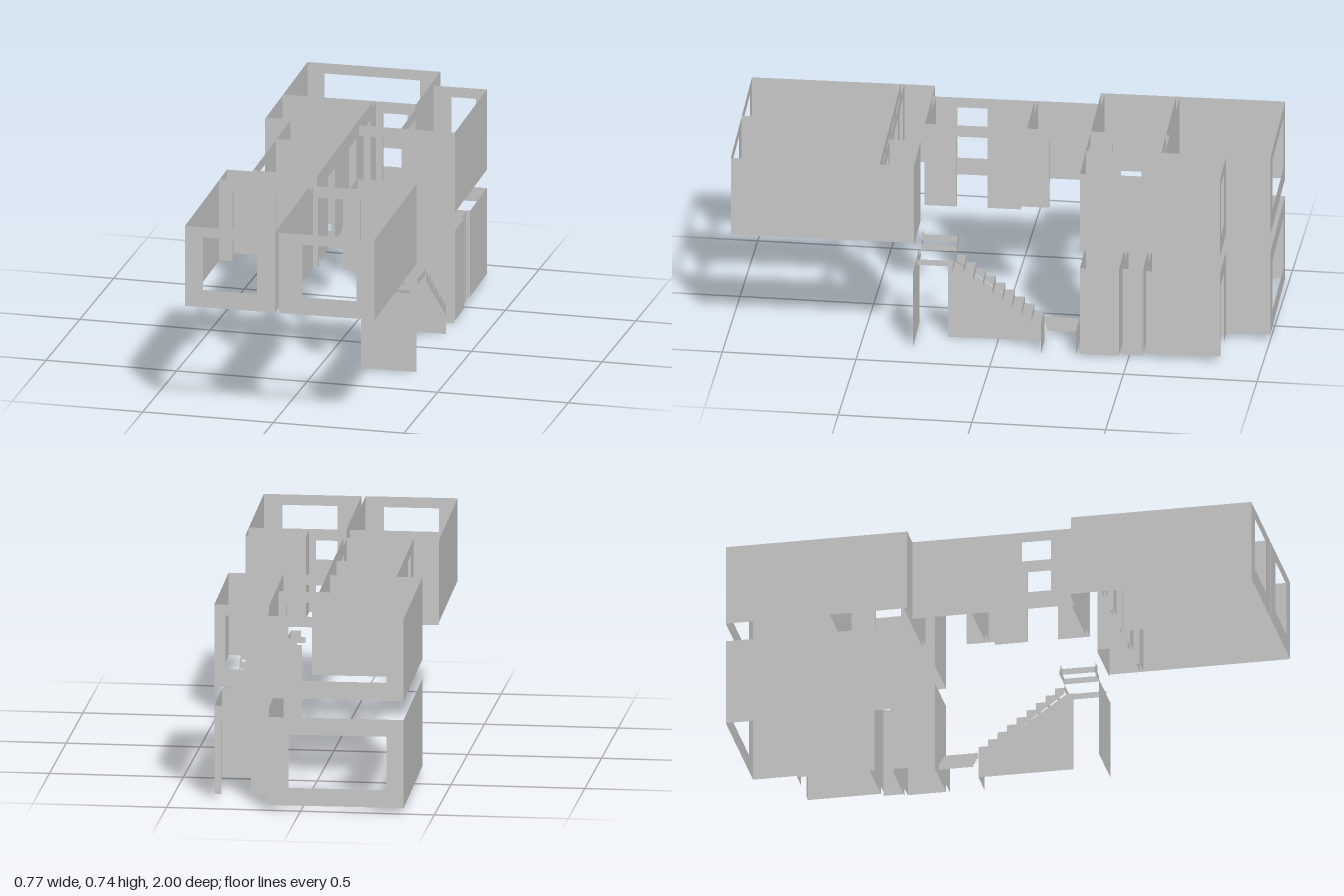
import * as THREE from 'three';

const material = new THREE.MeshStandardMaterial({ color: 0xcccccc, side: THREE.DoubleSide });
const GAP = 0.013; // distance between the two skins of an inner wall
const SKEW = 0.0233; // the whole plan is turned slightly about the vertical

export function createModel() {
  const model = new THREE.Group();
  model.name = 'twoStoreyHouse';
  let group;

  const addGroup = (name) => {
    group = new THREE.Group();
    group.name = name;
    group.rotation.y = SKEW;
    model.add(group);
  };

  // Upright sheet at x = pos or z = pos, outlined by [along, height] points
  const sheet = (name, axis, pos, points, windows = []) => {
    const shape = new THREE.Shape(points.map((p) => new THREE.Vector2(...p)));
    for (const [a, b, low, high] of windows) {
      shape.holes.push(new THREE.Path([[a, low], [a, high], [b, high], [b, low]].map((p) => new THREE.Vector2(...p))));
    }
    const geometry = new THREE.ShapeGeometry(shape);
    if (axis === 'x') geometry.rotateY(-Math.PI / 2).translate(pos, 0, 0);
    else geometry.translate(0, 0, pos);
    const mesh = new THREE.Mesh(geometry, material);
    mesh.name = name;
    group.add(mesh);
  };

  // Wall from a to b; doors are [start, end, head], listed from a to b
  const wall = (name, axis, pos, [a, b], [low, high], { doors = [], windows = [] } = {}) => {
    const points = [[a, low]];
    for (const [d0, d1, head] of doors) points.push([d0, low], [d0, head], [d1, head], [d1, low]);
    points.push([b, low], [b, high], [a, high]);
    sheet(name, axis, pos, points, windows);
  };

  // Two skins with jambs in the doorways
  const partition = (name, axis, pos, span, ys, openings = {}) => {
    wall(name, axis, pos, span, ys, openings);
    wall(name, axis, pos + GAP, span, ys, openings);
    for (const [d0, d1, head] of openings.doors ?? []) {
      for (const d of [d0, d1]) wall('doorJamb', axis === 'x' ? 'z' : 'x', d, [pos, pos + GAP], [ys[0], head]);
    }
  };

  // Shared plan lines
  const W = 0.361, FRONT = 0.992, BACK = -0.9965, SIDE_BACK = -0.832;
  const ROOM_END = 0.437, CLOSET_END = 0.309, SIDE_FRONT = -0.31;
  const HALL_L = -0.018, HALL_R = -0.003, IN_L = 0.145, IN_R = 0.157;

  // Upper floor
  const U = [0.427, 0.74];
  const M = [0.415, 0.74];
  const HEAD = 0.7;
  addGroup('frontRooms');
  for (const [side, inner] of [[-1, HALL_L], [1, HALL_R]]) {
    const ordered = (a, b) => [Math.min(a, b), Math.max(a, b)];
    wall('frontWall', 'z', FRONT, ordered(inner, side * W), U, {
      windows: [[...ordered(side * 0.087, side * 0.292), 0.495, HEAD]],
    });
    wall('outerSideWall', 'x', side * W, [CLOSET_END, FRONT], U);
    wall('dividingWall', 'x', inner, [ROOM_END, FRONT], U);
  }
  partition('rearWall', 'z', ROOM_END - GAP, [-W, HALL_L], U, { doors: [[-0.31, -0.195, HEAD], [-0.145, -0.03, HEAD]] });
  partition('rearWall', 'z', ROOM_END - GAP, [HALL_R, W], U, { doors: [[0.015, 0.11, HEAD], [0.175, 0.29, HEAD]] });
  wall('closetRearWall', 'z', CLOSET_END, [-W, -0.265], M);
  wall('closetRearWall', 'z', CLOSET_END, [0.135, W], M);
  wall('closetInnerWall', 'x', 0.135, [CLOSET_END, ROOM_END - GAP], U);

  addGroup('middleRooms');
  wall('outerSideWall', 'x', -0.265, [SIDE_FRONT, CLOSET_END], U, { windows: [[0.104, 0.215, 0.495, HEAD]] });
  partition('crossWall', 'z', CLOSET_END - GAP, [-0.265, HALL_L], M);
  partition('crossWall', 'z', -0.085, [-0.265, HALL_L], U);
  partition('corridorWall', 'x', HALL_L, [-0.05, CLOSET_END], M, { doors: [[0.075, 0.19, HEAD]] });
  partition('corridorWall', 'x', HALL_L, [-0.6, -0.05], U, { doors: [[-0.5, -0.39, HEAD], [-0.275, -0.155, HEAD]] });

  addGroup('backRooms');
  wall('outerSideWall', 'x', -W, [BACK, SIDE_FRONT], U);
  wall('backWall', 'z', BACK, [-W, IN_L], U, { windows: [[-0.297, 0.068, 0.495, HEAD]] });
  partition('crossWall', 'z', SIDE_FRONT - GAP, [-W, HALL_L], U);
  partition('crossWall', 'z', -0.603, [-W, IN_L], U, { doors: [[0.02, 0.115, HEAD]] });
  wall('corridorLintel', 'z', SIDE_FRONT, [HALL_R, IN_R], [HEAD, 0.74]);
  wall('innerSideWall', 'x', IN_L, [BACK, -0.59], U);
  wall('innerSideWall', 'x', IN_R, [SIDE_BACK, SIDE_FRONT], U, { doors: [[-0.56, -0.44, HEAD]] });
  wall('sideRoomFrontWall', 'z', SIDE_FRONT, [IN_R, W], U);
  wall('sideRoomOuterWall', 'x', W, [SIDE_BACK, SIDE_FRONT], U);
  wall('sideRoomBackWall', 'z', SIDE_BACK, [IN_R, W], U, { windows: [[0.225, 0.32, 0.495, HEAD]] });

  // Lower floor
  const L = [0.02, 0.355];
  const LOW = [0.005, 0.355];
  addGroup('lowerRooms');
  wall('outerSideWall', 'x', -W, [BACK, SIDE_FRONT], L);
  wall('backWall', 'z', BACK, [-W, IN_L], L, { windows: [[-0.297, 0.068, 0.087, 0.29]] });
  wall('innerSideWall', 'x', IN_L, [BACK, -0.56], L);
  wall('innerSideWall', 'x', IN_R, [SIDE_BACK, SIDE_FRONT], L, { doors: [[-0.54, -0.48, 0.3]] });
  wall('sideRoomFrontWall', 'z', SIDE_FRONT, [IN_R, W], LOW);
  wall('sideRoomOuterWall', 'x', W, [-0.455, SIDE_FRONT], LOW);
  wall('recessedWall', 'x', W - 0.012, [-0.545, -0.468], LOW);
  wall('sideRoomOuterWall', 'x', W, [SIDE_BACK, -0.557], L);
  partition('sideRoomCrossWall', 'z', -0.468, [IN_R, W], LOW);
  partition('sideRoomCrossWall', 'z', -0.557, [IN_R, W], L);
  wall('sideRoomBackWall', 'z', SIDE_BACK, [IN_R, W], L, { doors: [[0.225, 0.335, 0.3]] });

  // U-shaped stair: short start, long flight, landing and short finish
  addGroup('staircase');
  const X0 = 0.25, X1 = W, Z0 = -0.165, STEPS = 9, RUN = 0.0362, RISE = 0.0265;
  wall('landingPanel', 'z', 0.312, [0.15, X1], [0.005, 0.31]);
  wall('lowerLandingPanel', 'z', Z0, [X0, X1], [0, 0.098]);
  sheet('stringerWall', 'x', X0, [[Z0, 0], [0.195, 0], [0.195, 0.31], [0.17, 0.31], [Z0, 0.08]]);
  wall('stringerEnd', 'z', 0.195, [0.237, X0], [0, 0.31]);
  for (let i = 0; i < 4; i++) {
    const y = i * 0.0245, x = 0.155 + i * 0.03;
    wall('lowerRiser', 'x', x, [-0.295, Z0], [y, y + 0.0245]);
    wall('lowerStepSide', 'z', -0.295, [x, X1], [y, y + 0.0245]);
  }
  for (let i = 0; i < STEPS; i++) {
    const z = Z0 + i * RUN, y = 0.098 + i * RISE;
    wall('riser', 'z', z, [X0, X1], [y, y + RISE]);
    for (const x of [X0, X1]) {
      sheet('stepSide', 'x', x, [[z, y - 0.025], [z + RUN, y - 0.025 + RISE], [z + RUN, y + RISE], [z, y + RISE]]);
    }
  }
  // Landing and the last two steps
  for (const [a, b, low, high] of [[0.225, X1, 0.316, 0.338], [0.135, 0.225, 0.338, 0.361], [0.153, 0.19, 0.361, 0.385]]) {
    for (const z of [0.165, 0.297]) wall('upperStepSide', 'z', z, [a, b], [low, high]);
    wall('upperRiser', 'x', b, [0.165, 0.297], [Math.max(low, 0.338), Math.max(high, 0.361)]);
  }
  return model;
}
